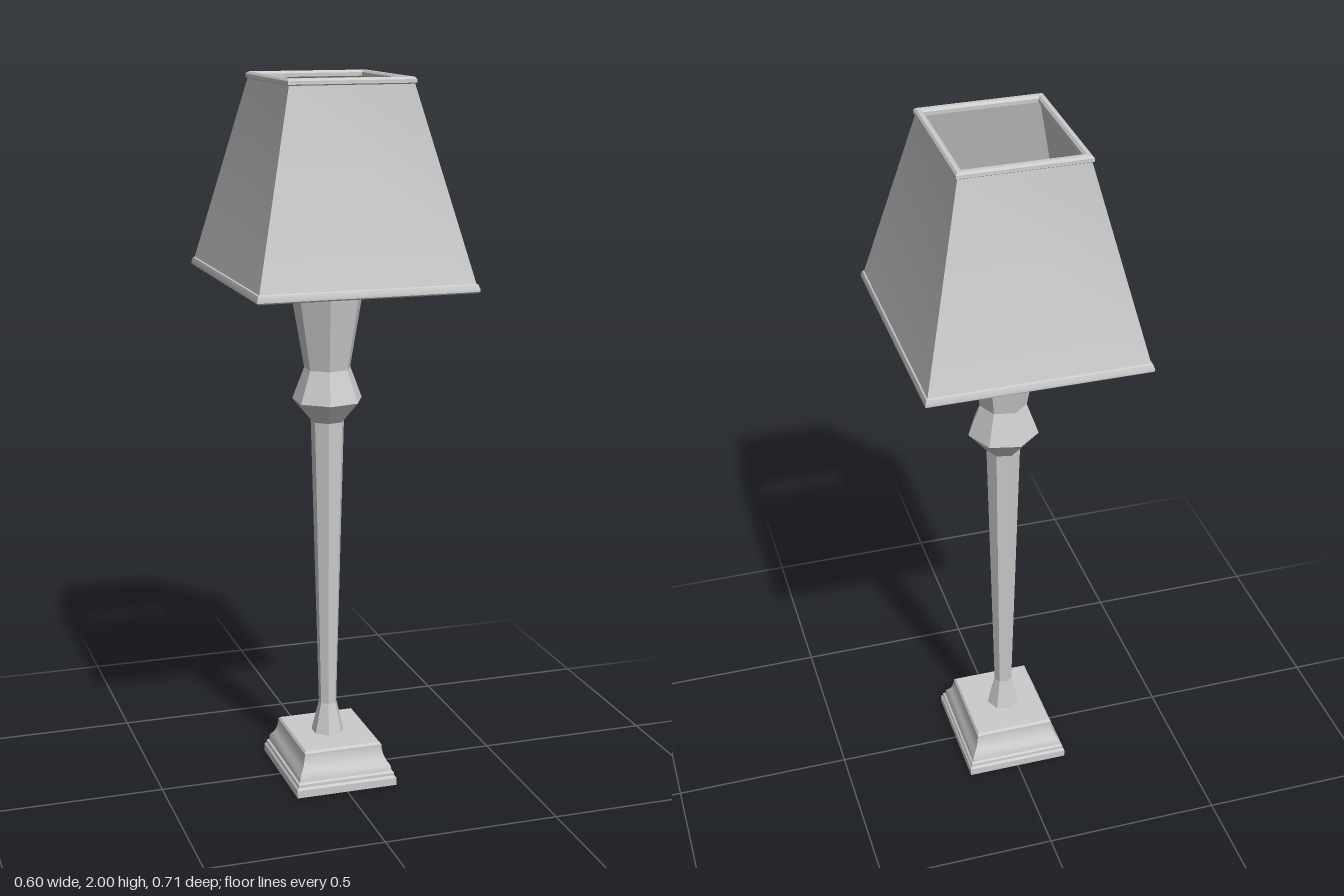
import * as THREE from 'three';
import { toCreasedNormals } from 'three/addons/utils/BufferGeometryUtils.js';

const DEPTH = 1.176; // shade and base are deeper (z) than wide (x)
const material = new THREE.MeshStandardMaterial({ color: 0xcccccc });

const points = (profile) => profile.map(([r, y]) => new THREE.Vector2(r, y));

function addMesh(group, name, geometry) {
  const mesh = new THREE.Mesh(geometry, material);
  mesh.name = name;
  group.add(mesh);
  return mesh;
}

// Rectangular moulding: the profile is [half width, y], mitred at four corners
function rectangular(profile) {
  const g = new THREE.LatheGeometry(points(profile), 4, Math.PI / 4);
  g.scale(Math.SQRT2, 1, Math.SQRT2 * DEPTH);
  return toCreasedNormals(g, 0.6);
}

export function createModel() {
  const lamp = new THREE.Group();
  lamp.name = 'tableLamp';

  // Stepped base with a coved side and a recess underneath
  addMesh(lamp, 'base', rectangular([
    [0, 0.025], [0.075, 0.025], [0.08, 0], [0.148, 0], [0.148, 0.022],
    [0.143, 0.028], [0.143, 0.036], [0.137, 0.04], [0.135, 0.056],
    [0.125, 0.07], [0.119, 0.085], [0.115, 0.105], [0.115, 0.114],
    [0.11, 0.12], [0, 0.12],
  ]));

  // Seven-sided tapered post with a knob and a flared top
  const post = new THREE.LatheGeometry(points([
    [0, 0.115], [0.049, 0.115], [0.026, 0.21], [0.048, 1.05],
    [0.1, 1.11], [0.066, 1.2], [0.11, 1.45], [0, 1.46],
  ]), 7, Math.PI / 2);
  addMesh(lamp, 'post', toCreasedNormals(post, 0.2)).position.x = -0.004;

  // Five-sided bulb, smoothly shaded
  const bulb = new THREE.LatheGeometry(points([
    [0, 1.44], [0.09, 1.445], [0.125, 1.475], [0.143, 1.53],
    [0.143, 1.6], [0.115, 1.66], [0.065, 1.69], [0, 1.7],
  ]), 5, Math.PI - 0.06);
  bulb.scale(0.93, 1, 1.07);
  addMesh(lamp, 'bulb', bulb);

  // Hollow shade with a raised trim at both openings
  addMesh(lamp, 'shade', rectangular([
    [0.272, 1.45], [0.298, 1.45], [0.302, 1.454], [0.302, 1.46],
    [0.298, 1.472], [0.294, 1.474], [0.171, 1.982], [0.175, 1.985],
    [0.175, 1.994], [0.17, 2], [0.16, 2], [0.154, 1.994],
    [0.154, 1.984], [0.162, 1.98], [0.284, 1.474], [0.272, 1.468], [0.272, 1.45],
  ]));

  // Thin rods carrying the shade from the bulb to its lower corners
  const centre = new THREE.Vector3(0, 1.49, 0);
  for (const sx of [-1, 1]) {
    for (const sz of [-1, 1]) {
      const corner = new THREE.Vector3(sx * 0.28, 1.468, sz * 0.28 * DEPTH);
      const span = corner.clone().sub(centre);
      const rod = addMesh(lamp, 'shadeRod', new THREE.CylinderGeometry(0.004, 0.004, span.length(), 6));
      rod.position.copy(centre).addScaledVector(span, 0.5);
      rod.quaternion.setFromUnitVectors(new THREE.Vector3(0, 1, 0), span.normalize());
    }
  }

  return lamp;
}
